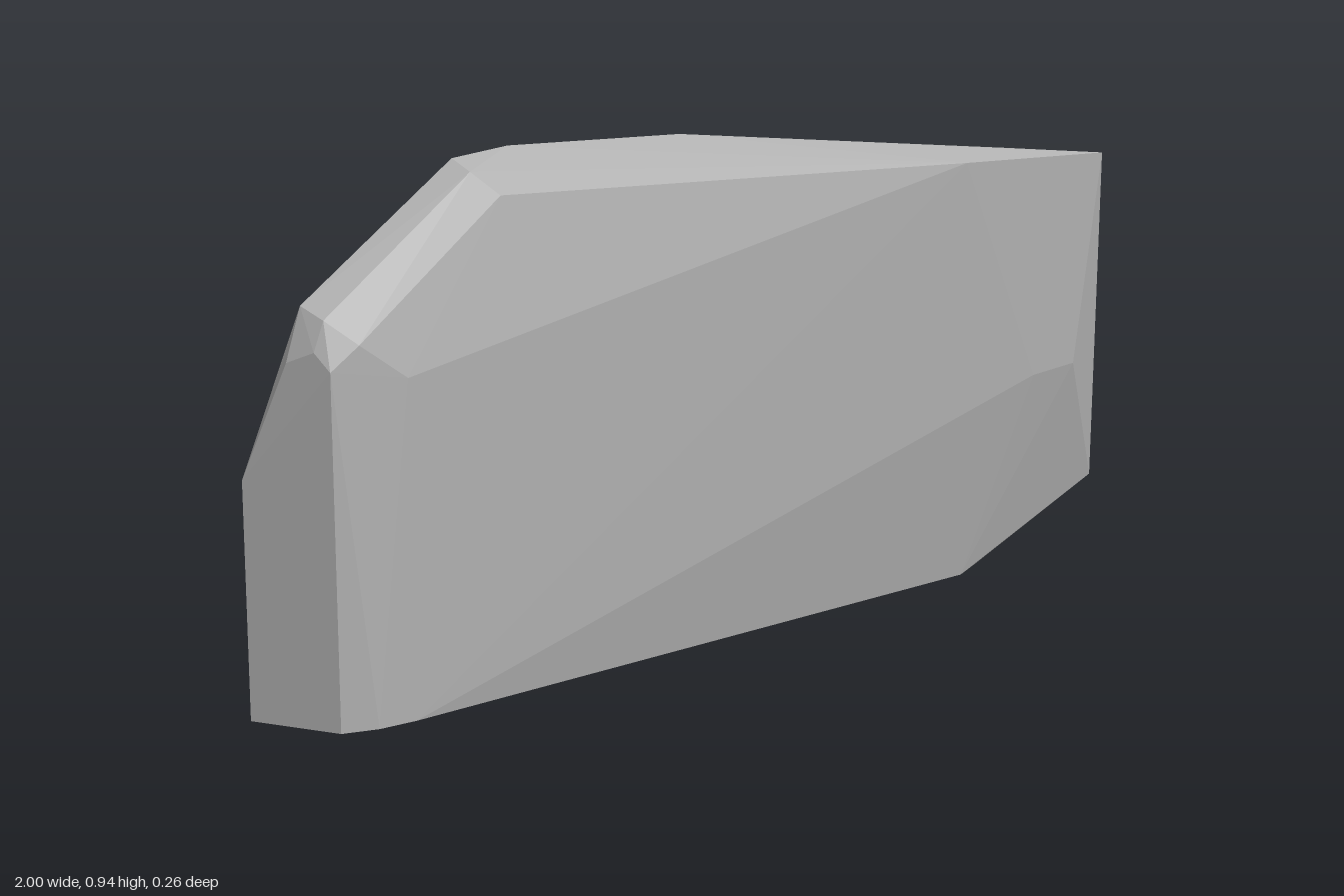
import * as THREE from 'three';
import { ConvexGeometry } from 'three/addons/geometries/ConvexGeometry.js';

export function createModel() {
  const group = new THREE.Group();
  const grey = new THREE.MeshStandardMaterial({ color: 0xb0b0b0 });
  grey.name = 'stone grey';
  grey.flatShading = true;

  // Corners of the faceted slab, grouped by region
  const back = [
    [-1, 0, -0.13], [-1, 0.41, -0.13], [0.88, 0.855, -0.095], [0.85, 0.41, -0.095],
  ];
  const topRidge = [
    [-0.96, 0.61, -0.05], [-0.93, 0.7, -0.05], [-0.62, 0.92, -0.05],
    [-0.5, 0.935, -0.05], [-0.1, 0.935, -0.05],
  ];
  const roundedCorner = [
    [-0.94, 0.63, 0], [-0.92, 0.68, 0], [-0.62, 0.9, 0], [-0.58, 0.86, 0.03],
    [-0.93, 0.6, 0.03], [-0.88, 0.64, 0.04], [-0.8, 0.58, 0.06],
  ];
  const front = [
    [0.5, 0.858, 0.13], [0.93, 0.855, 0.13], [0.85, 0.42, 0.13], [0.72, 0.41, 0.13],
  ];
  const rightEnd = [
    [1, 0.24, 0.065], [1, 0.15, 0.065], [1, 0.24, -0.05], [1, 0.15, -0.05],
  ];
  const base = [
    [-0.96, 0, -0.05], [-0.93, 0, 0.03], [-0.87, 0, 0.053], [-0.8, 0, 0.06],
    [0.58, 0, 0.063], [0.66, 0, 0.03], [0.65, 0, -0.01],
  ];

  const corners = [back, topRidge, roundedCorner, front, rightEnd, base].flat();
  const slab = new THREE.Mesh(
    new ConvexGeometry(corners.map((p) => new THREE.Vector3(...p))), grey);
  slab.name = 'slab';
  group.add(slab);
  return group;
}
